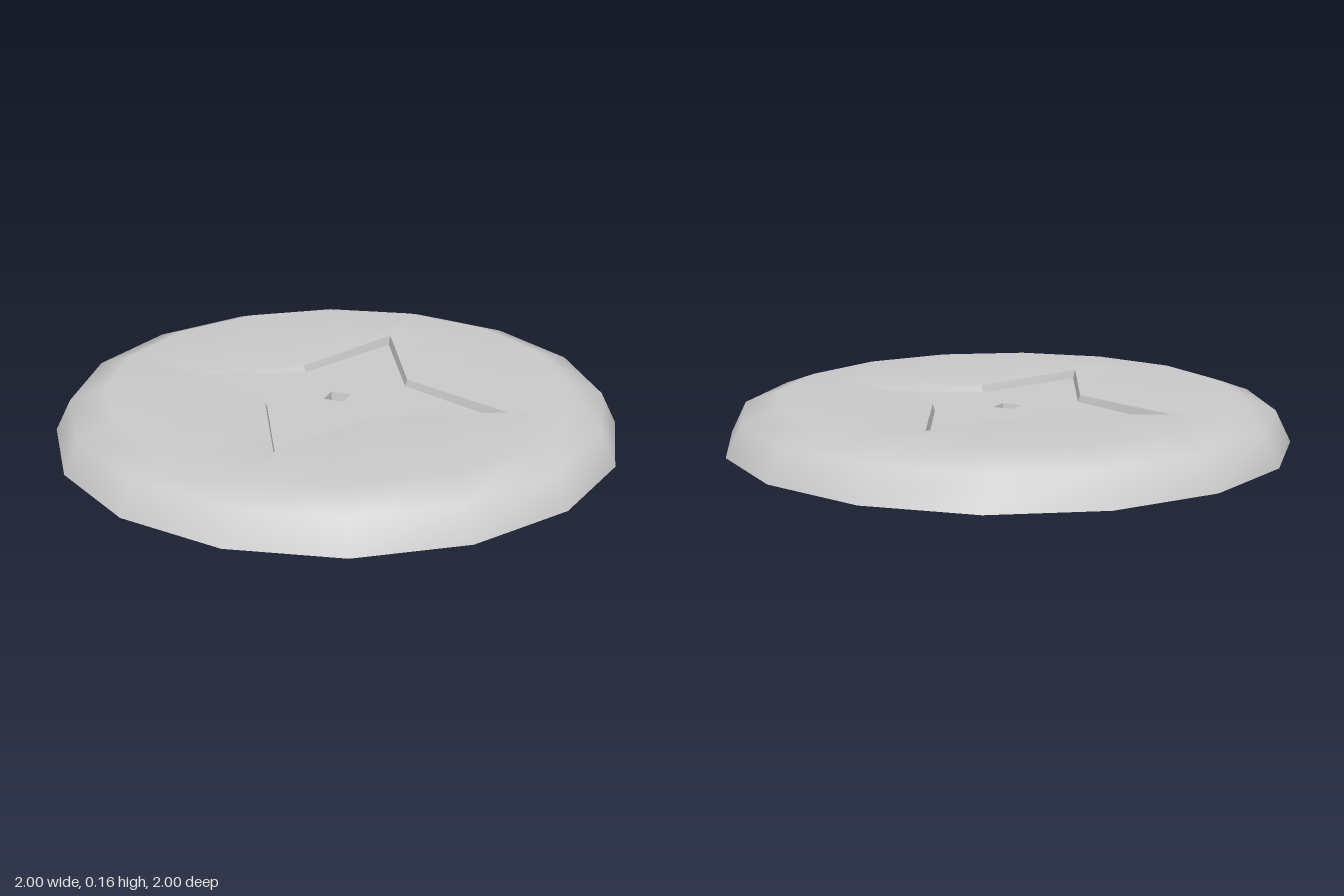
import * as THREE from 'three';

const SIDES = 16;

// Builds one closed loop of points; rule(k, angle) returns [x, y, z]
function loop(rule) {
  return Array.from({ length: SIDES }, (_, k) => rule(k, (k / SIDES) * Math.PI * 2));
}

// Round loop of the disc
const ring = (r, y) => loop((k, a) => [r * Math.cos(a), y, r * Math.sin(a)]);

// Square loop of the centre pit
const square = (half, y) => loop((k, a) => {
  const c = Math.cos(a), s = Math.sin(a);
  const f = half / Math.max(Math.abs(c), Math.abs(s));
  return [c * f, y, s * f];
});

// Four-pointed star loop: tips, inner corners and the midpoints between them
function star(scale, tipY, cornerY) {
  const corner = (j) => {
    const a = (j * Math.PI) / 4;
    return j % 2
      ? [0.2 * Math.sign(Math.cos(a)), cornerY, 0.185 * Math.sign(Math.sin(a))]
      : [0.62 * Math.round(Math.cos(a)), tipY, 0.585 * Math.round(Math.sin(a))];
  };
  return loop((k) => {
    const p = corner(Math.floor(k / 2)), q = corner(Math.ceil(k / 2) % 8);
    return [scale * (p[0] + q[0]) / 2, (p[1] + q[1]) / 2, scale * (p[2] + q[2]) / 2];
  });
}

// Skins consecutive loops with quads
function loft(loops, flat) {
  const index = [];
  for (let i = 0; i < loops.length - 1; i++) {
    for (let k = 0; k < SIDES; k++) {
      const n = (k + 1) % SIDES;
      const a = i * SIDES + k, b = i * SIDES + n;
      const c = a + SIDES, d = b + SIDES;
      index.push(a, c, b, b, c, d);
    }
  }
  let geometry = new THREE.BufferGeometry();
  geometry.setAttribute('position', new THREE.Float32BufferAttribute(loops.flat(2), 3));
  geometry.setIndex(index);
  if (flat) geometry = geometry.toNonIndexed();
  geometry.computeVertexNormals();
  return geometry;
}

export function createModel() {
  const group = new THREE.Group();
  group.name = 'disc';
  const grey = new THREE.MeshStandardMaterial({ color: 0xcccccc });
  grey.name = 'light grey';

  const add = (name, loops, flat = false) => {
    const mesh = new THREE.Mesh(loft(loops, flat), grey);
    mesh.name = name;
    group.add(mesh);
  };

  const starRim = star(1, 0.143, 0.136);
  const starFloor = star(0.97, 0.112, 0.112);
  const pitRim = square(0.037, 0.112);
  const pitFloor = square(0.03, 0.065);

  // Rounded shell with a slightly dished top
  add('shell', [ring(1, 0), ring(0.945, 0.112), ring(0.82, 0.157), starRim]);
  add('underside', [ring(0, 0), ring(1, 0)]);

  // Sunken star
  add('starWall', [starRim, starFloor], true);
  add('starFloor', [starFloor, pitRim]);

  // Small square pit in the middle
  add('pitWall', [pitRim, pitFloor], true);
  add('pitFloor', [pitFloor, square(0, 0.065)]);

  return group;
}
